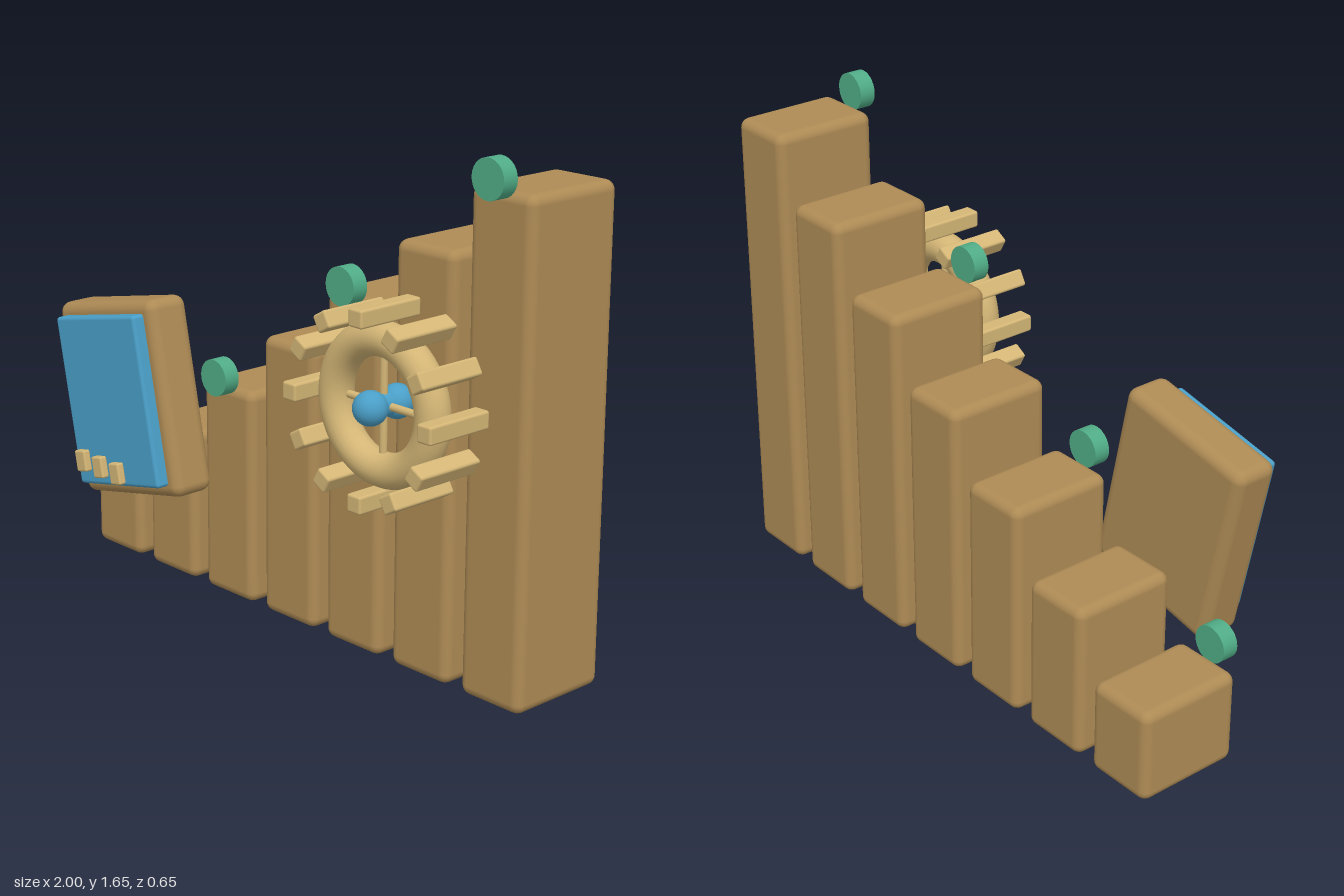
import * as THREE from 'three';
import { RoundedBoxGeometry } from 'three/addons/geometries/RoundedBoxGeometry.js';

export function createModel() {
  const model = new THREE.Group();
  model.name = 'barChart';

  const material = (name, color) => {
    const m = new THREE.MeshStandardMaterial({ color });
    m.name = name;
    return m;
  };
  const brown = material('brown wood', 0xae8b55);
  const tan = material('pale wood', 0xd4b676);
  const blue = material('blue', 0x4a9fc8);
  const green = material('green', 0x50ac86);

  const add = (parent, name, geometry, mat, x, y, z) => {
    const mesh = new THREE.Mesh(geometry, mat);
    mesh.name = name;
    mesh.position.set(x, y, z);
    parent.add(mesh);
    return mesh;
  };
  const group = (name, x, y, z) => {
    const g = new THREE.Group();
    g.name = name;
    g.position.set(x, y, z);
    model.add(g);
    return g;
  };
  const box = (w, h, d, r) => new RoundedBoxGeometry(w, h, d, 3, r);

  // Rising bars, with a round marker on every second one
  const markerGeometry = new THREE.CylinderGeometry(0.061, 0.061, 0.055, 28).rotateX(Math.PI / 2);
  for (let i = 0; i < 7; i++) {
    const x = -0.88 + i * 0.2933;
    const h = 0.31 + i * 0.2067;
    add(model, 'bar', box(0.24, h, 0.362, 0.032), brown, x, h / 2, -0.144);
    if (i % 2 === 0) add(model, 'marker', markerGeometry, green, x, h + 0.038, 0.064);
  }

  // Tilted tablet with a raised screen
  const tilt = THREE.MathUtils.degToRad(11.8);
  const tablet = group('tablet', -0.612, 0.648, 0);
  tablet.rotation.z = tilt;
  add(tablet, 'tabletFrame', box(0.508, 0.648, 0.156, 0.036), brown, 0, 0, 0.162);
  add(tablet, 'screen', box(0.422, 0.565, 0.08, 0.012), blue, 0, 0, 0.243);

  // Buttons floating in front of the screen
  for (let i = -1; i <= 1; i++) {
    const button = add(model, 'button', box(0.052, 0.072, 0.028, 0.007), tan, -0.614 + i * 0.09, 0.43, 0.312);
    button.rotation.z = tilt;
  }

  // Cog wheel: ring, teeth, crossed spokes and hub
  const wheel = group('cogWheel', 0.583, 0.895, 0.188);
  add(wheel, 'ring', new THREE.TorusGeometry(0.198, 0.054, 20, 56), tan, 0, 0, 0);
  const toothGeometry = box(0.056, 0.056, 0.24, 0.008);
  for (let i = 0; i < 12; i++) {
    const a = (i * Math.PI) / 6;
    const tooth = add(wheel, 'tooth', toothGeometry, tan, Math.cos(a) * 0.278, Math.sin(a) * 0.278, 0);
    tooth.rotation.z = a;
  }
  for (const turn of [0, Math.PI / 2]) {
    const spoke = add(wheel, 'spoke', new THREE.CylinderGeometry(0.012, 0.012, 0.38, 12), tan, 0, 0, 0);
    spoke.rotation.z = turn;
  }
  add(wheel, 'hubAxle', new THREE.CylinderGeometry(0.036, 0.036, 0.11, 20).rotateX(Math.PI / 2), blue, 0, 0, 0);
  for (const side of [-1, 1]) {
    add(wheel, 'hubKnob', new THREE.SphereGeometry(0.053, 24, 16), blue, 0, 0, side * 0.054);
  }

  return model;
}
